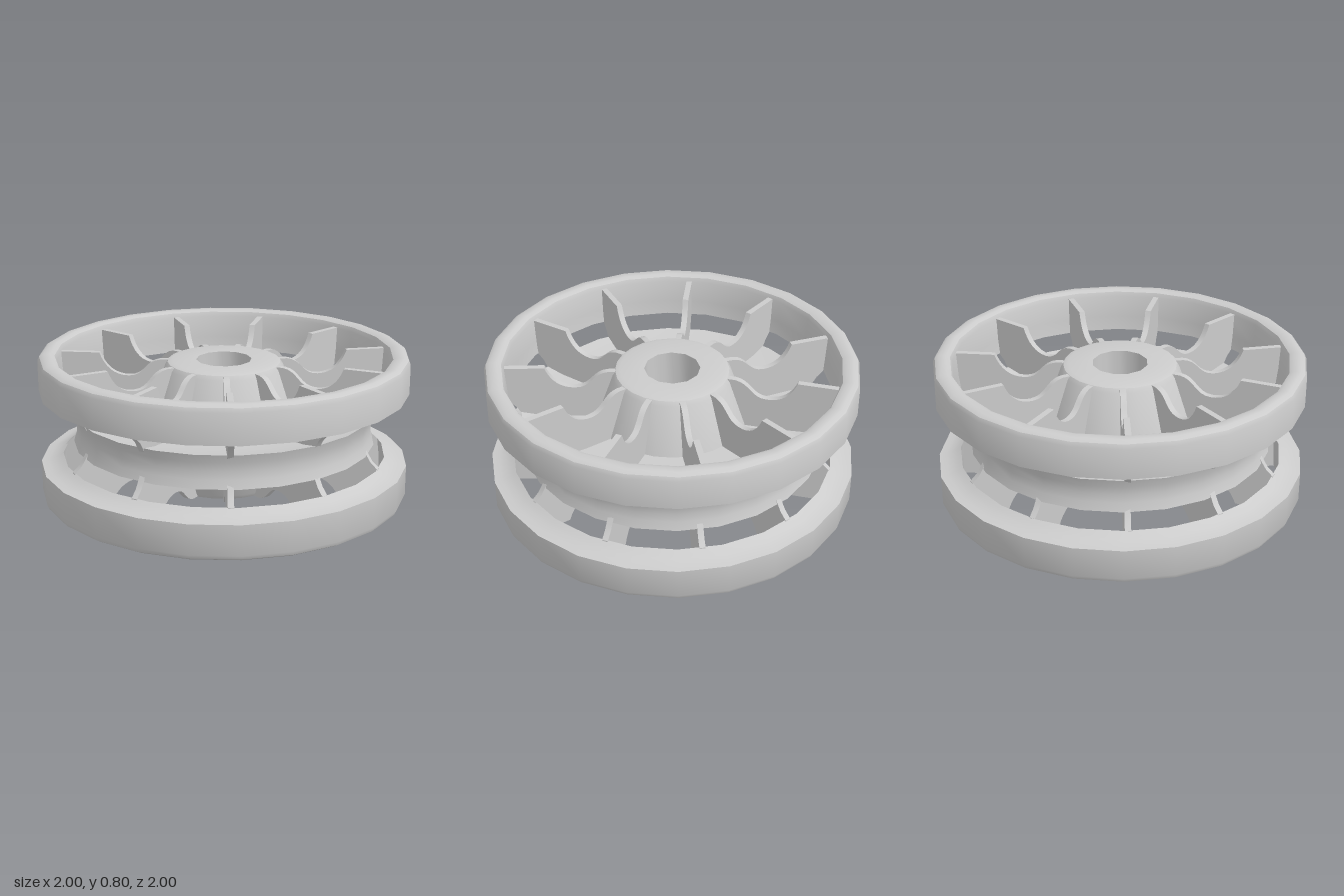
import * as THREE from 'three';
import { toCreasedNormals } from 'three/addons/utils/BufferGeometryUtils.js';

const SIDES = 24;
const BLADES = 11;
const HEIGHT = 0.8;
const HOLE = 0.15;
const material = new THREE.MeshStandardMaterial({ color: 0xcccccc });

const flip = (points) => points.map(([r, y]) => [r, HEIGHT - y]).reverse();

// Point on the round groove that runs around the wheel
const groove = (y) => [1 - Math.sqrt(0.04 - (y - 0.4) ** 2), y];

// Closed ring turned from a counter-clockwise [radius, height] profile
function ring(name, profile) {
  const points = [...profile, profile[0]].map(([r, y]) => new THREE.Vector2(r, y));
  const turned = new THREE.LatheGeometry(points, SIDES);
  // The axle hole has half as many sides
  const p = turned.attributes.position;
  const rows = points.length;
  for (let i = 0; i < p.count; i++) {
    const odd = Math.floor(i / rows) % 2 === 1;
    if (odd && Math.hypot(p.getX(i), p.getZ(i)) < HOLE + 0.001) {
      const k = Math.cos((2 * Math.PI) / SIDES);
      p.setXYZ(i, p.getX(i) * k, p.getY(i), p.getZ(i) * k);
    }
  }
  const mesh = new THREE.Mesh(toCreasedNormals(turned, 0.6), material);
  mesh.name = name;
  return mesh;
}

// Radial blade outline: low at the hub, scooped, then a tall outer tip
function bladeGeometry() {
  const s = new THREE.Shape();
  s.moveTo(0.25, 0.44);
  s.lineTo(0.79, 0.44);
  s.lineTo(0.82, 0.49);
  s.lineTo(0.842, 0.525);
  s.lineTo(0.88, 0.56);
  s.lineTo(0.893, 0.77);
  s.lineTo(0.68, 0.77);
  s.bezierCurveTo(0.65, 0.69, 0.6, 0.645, 0.52, 0.645);
  s.bezierCurveTo(0.43, 0.645, 0.43, 0.73, 0.345, 0.74);
  s.lineTo(0.25, 0.74);
  s.closePath();
  const depth = 0.032;
  const g = new THREE.ExtrudeGeometry(s, { depth, bevelEnabled: false, curveSegments: 8 });
  g.translate(0, 0, -depth / 2);
  return toCreasedNormals(g, 0.6);
}

export function createModel() {
  const wheel = new THREE.Group();
  wheel.name = 'wheel';

  // Rims: rounded outer edges, hollowed on the groove side
  const rim = [
    [0.88, 0.56], groove(0.572), groove(0.586), [0.96, 0.597], [1, 0.602],
    [1, 0.765], [0.99, 0.787], [0.968, 0.8], [0.93, 0.8], [0.908, 0.79], [0.897, 0.765],
    [0.89, 0.64],
  ];
  wheel.add(ring('upperRim', rim), ring('lowerRim', flip(rim)));

  // Core: grooved disc with a conical hub on both faces and an axle hole
  const upperFace = [
    [0.82, 0.49], [0.72, 0.47], [0.56, 0.46], [0.41, 0.46],
    [0.32, 0.72], [0.305, 0.742], [0.28, 0.75], [HOLE, 0.75],
  ];
  const grooveWall = [0.355, 0.4, 0.445].map(groove);
  wheel.add(ring('hubAndDisc', [...flip(upperFace), ...grooveWall, ...upperFace]));

  // Blades on both faces; the lower set mirrors the upper one
  const upper = bladeGeometry();
  const lower = upper.clone().rotateX(Math.PI).translate(0, HEIGHT, 0);
  for (let i = 0; i < BLADES; i++) {
    for (const [name, geometry] of [['upperBlade', upper], ['lowerBlade', lower]]) {
      const blade = new THREE.Mesh(geometry, material);
      blade.name = name + (i + 1);
      blade.rotation.y = -Math.PI / 2 + (i * 2 * Math.PI) / BLADES;
      wheel.add(blade);
    }
  }
  return wheel;
}
